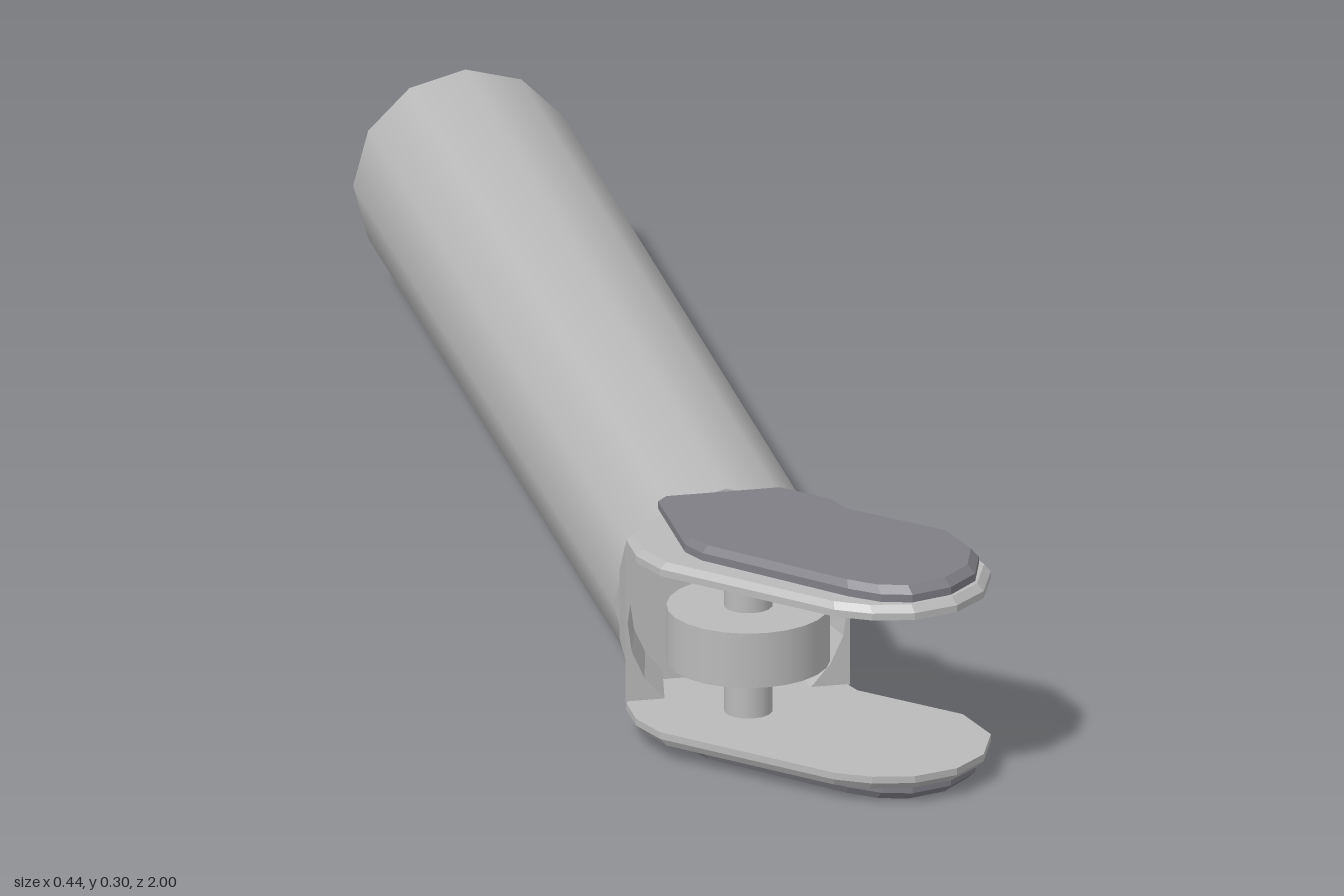
import * as THREE from 'three';

const CX = -0.07, CY = 0.152, R = 0.15;

// outlines of the jaw plates as [x, z]
const PLATE = [[-0.16, 0.58], [-0.22, 0.655], [-0.22, 0.715], [-0.2, 0.77], [-0.01, 0.965], [0.035, 0.99],
  [0.09, 1], [0.15, 0.983], [0.195, 0.94], [0.22, 0.87], [0.2, 0.79], [0.085, 0.675], [0.07, 0.63], [0.02, 0.575]];
const PAD = [[-0.16, 0.577], [-0.16, 0.74], [-0.145, 0.775], [0.013, 0.945], [0.05, 0.974], [0.09, 0.985],
  [0.145, 0.968], [0.187, 0.925], [0.205, 0.865], [0.187, 0.79], [0.07, 0.675], [0.057, 0.635], [0, 0.577]];

// upright slab whose outer face is drawn in to leave a chamfered rim
function slab(outline, depth, inset) {
  const shape = new THREE.Shape(outline.map(([x, z]) => new THREE.Vector2(x, -z)));
  const geo = new THREE.ExtrudeGeometry(shape, { depth, steps: 2, bevelEnabled: false });
  geo.rotateX(-Math.PI / 2);
  const p = geo.attributes.position;
  for (let i = 0; i < p.count; i++) {
    if (p.getY(i) > depth * 0.9) {
      p.setX(i, 0.01 + (p.getX(i) - 0.01) * (1 - inset));
      p.setZ(i, 0.79 + (p.getZ(i) - 0.79) * (1 - inset));
    }
  }
  geo.computeVertexNormals();
  return geo;
}

// collar cheek: square outside and round inside at the front, round at the back
function cheekGeometry(side) {
  const depth = 0.07, inner = 0.147, h = 0.11;
  const pts = [[R, -h], [R, -0.05], [R, 0.05], [R, h]];
  const a = Math.asin(h / inner);
  for (let i = 0; i <= 6; i++) {
    const t = a - (2 * a * i) / 6;
    pts.push([inner * Math.cos(t), inner * Math.sin(t)]);
  }
  const shape = new THREE.Shape(pts.map(([x, y]) => new THREE.Vector2(x * side, y)));
  const geo = new THREE.ExtrudeGeometry(shape, { depth, bevelEnabled: false });
  const p = geo.attributes.position;
  for (let i = 0; i < p.count; i++) {
    if (p.getZ(i) > depth / 2) continue;
    const x = p.getX(i), y = p.getY(i), r = Math.hypot(x, y);
    const k = (r < inner + 0.001 ? 0.128 : R) / r;
    p.setXY(i, x * k, y * k);
  }
  geo.computeVertexNormals();
  return geo;
}

export function createModel() {
  const group = new THREE.Group();
  const lightGrey = new THREE.MeshStandardMaterial({ color: 0xbababa });
  lightGrey.name = 'light grey';
  lightGrey.side = THREE.DoubleSide;
  const darkGrey = new THREE.MeshStandardMaterial({ color: 0x7f7e85 });
  darkGrey.name = 'dark grey';

  const add = (name, geo, mat, x, y, z, parent = group) => {
    const mesh = new THREE.Mesh(geo, mat);
    mesh.name = name;
    mesh.position.set(x, y, z);
    parent.add(mesh);
    return mesh;
  };

  // long open tube, closed inside the collar
  add('tube', new THREE.CylinderGeometry(R, R, 1.58, 12, 1, true).rotateX(Math.PI / 2), lightGrey, CX, CY, -0.21);
  add('tubeCap', new THREE.CircleGeometry(R, 12), lightGrey, CX, CY, 0.58);

  // collar cheeks
  add('leftCheek', cheekGeometry(1), lightGrey, CX, CY, 0.58);
  add('rightCheek', cheekGeometry(-1), lightGrey, CX, CY, 0.58);

  // hinge pin and roller
  add('axle', new THREE.CylinderGeometry(0.032, 0.032, 0.222, 16), lightGrey, CX, CY, 0.715);
  add('roller', new THREE.CylinderGeometry(0.107, 0.107, 0.076, 24), lightGrey, CX, CY, 0.715);

  // mirrored pair of jaws
  for (const [name, s] of [['upperJaw', 1], ['lowerJaw', -1]]) {
    const jaw = new THREE.Group();
    jaw.name = name;
    jaw.position.y = CY;
    jaw.scale.y = s;
    add('jawPlate', slab(PLATE, 0.019, 0.04), lightGrey, 0, 0.109, 0, jaw);
    add('jawPad', slab(PAD, 0.021, 0.05), darkGrey, 0, 0.128, 0, jaw);
    group.add(jaw);
  }
  return group;
}
